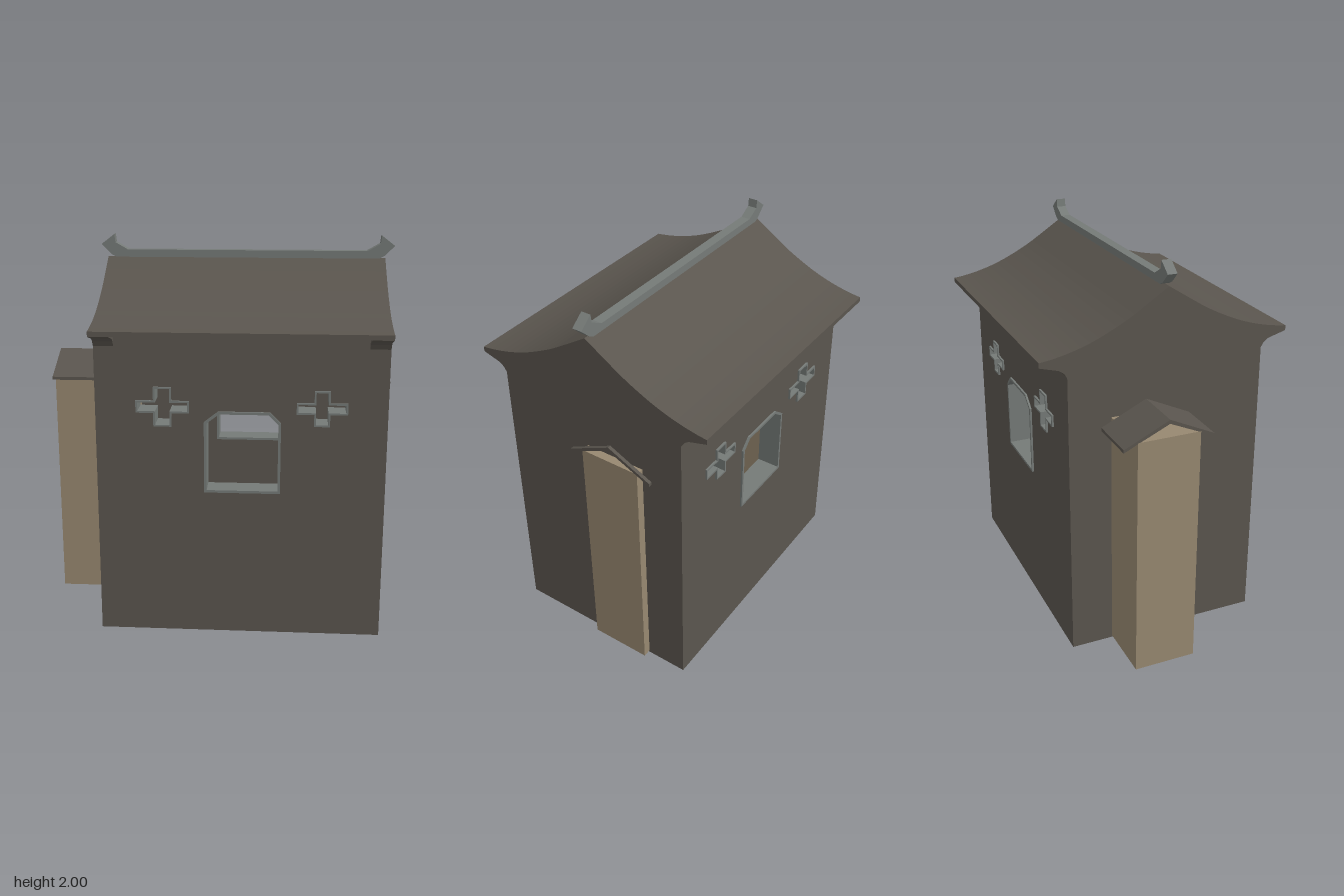
import * as THREE from 'three';

const mat = (name, color) => {
  const m = new THREE.MeshStandardMaterial({ color });
  m.name = name;
  return m;
};

export function createModel() {
  const house = new THREE.Group();
  house.name = 'house';
  const stone = mat('dark stone', 0x5a554e);
  const tan = mat('tan plaster', 0x978870);
  const trim = mat('grey trim', 0x757a77);

  const add = (name, geometry, material) => {
    const mesh = new THREE.Mesh(geometry, material);
    mesh.name = name;
    house.add(mesh);
    return mesh;
  };
  const points = (list) => list.map(([x, y]) => new THREE.Vector2(x, y));
  const extrude = (shape, depth) =>
    new THREE.ExtrudeGeometry(shape, { depth, bevelEnabled: false, curveSegments: 10 });
  // Extrude a gable section (z, y) along x from x0 to x1
  const alongX = (shape, x0, x1) => extrude(shape, x1 - x0).rotateY(Math.PI / 2).translate(x0, 0, 0);
  // Mirror half a section, listed from the ridge outwards and back to the centre
  const mirrored = (half) =>
    new THREE.Shape(points([...half, ...half.filter((p) => p[0] > 0).reverse().map(([z, y]) => [-z, y])]));

  const x0 = -0.595, x1 = 0.845, wall = 0.1, halfDepth = 0.51;

  // Sweeping roof line from the ridge to the eave
  const curve = new THREE.SplineCurve(points([
    [0, 1.88], [0.1, 1.815], [0.2, 1.752], [0.3, 1.7], [0.4, 1.657], [0.5, 1.626], [0.585, 1.608], [0.645, 1.6],
  ]));
  const roofLine = curve.getPoints(16).map((p) => [p.x, p.y]);

  // End walls with curved corbels under the eaves
  const gable = mirrored([
    ...roofLine, [0.645, 1.575], [0.6, 1.562], [0.55, 1.548], [0.525, 1.53], [halfDepth, 1.505], [halfDepth, 0],
  ]);
  add('rightEndWall', alongX(gable, x0, x0 + wall), stone);
  add('leftEndWall', alongX(gable, x1 - wall, x1), stone);

  // Roof slab between the end walls
  const slab = mirrored([...roofLine, [0.645, 1.575], [0.42, 1.575], [0.2, 1.68]]
    .concat([[0, 1.81]]));
  add('roof', alongX(slab, x0 + wall, x1 - wall), stone);

  // Outlines of the openings, shrunk by an inset
  const windowOutline = (i) => points([
    [-0.055 + i, 0.765 + i], [0.325 - i, 0.765 + i], [0.325 - i, 1.13 - i * 0.4],
    [0.27 - i * 0.4, 1.185 - i], [0.015 + i * 0.4, 1.185 - i], [-0.055 + i, 1.13 - i * 0.4],
  ]);
  const crossOutline = (cx, cy, w, h, armX, armY) => (i) => {
    const X = w / 2 - i, Y = h / 2 - i, a = armX / 2 - i, b = armY / 2 - i;
    return points([
      [-X, -b], [-a, -b], [-a, -Y], [a, -Y], [a, -b], [X, -b],
      [X, b], [a, b], [a, Y], [-a, Y], [-a, b], [-X, b],
    ].map(([x, y]) => [cx + x, cy + y]));
  };
  const openings = {
    windowFrame: windowOutline,
    rightCrossFrame: crossOutline(-0.26, 1.205, 0.265, 0.2, 0.09, 0.062),
    leftCrossFrame: crossOutline(0.525, 1.207, 0.25, 0.18, 0.078, 0.058),
  };

  // Front and back walls, pierced, each with raised frames
  for (const [side, z] of [['front', halfDepth - wall], ['back', -halfDepth]]) {
    const shape = new THREE.Shape(points([
      [x0 + wall, 0], [x1 - wall, 0], [x1 - wall, 1.575], [x0 + wall, 1.575],
    ]));
    for (const outline of Object.values(openings)) shape.holes.push(new THREE.Path(outline(0)));
    add(side + 'Wall', extrude(shape, wall).translate(0, 0, z), stone);
    for (const [name, outline] of Object.entries(openings)) {
      const frame = new THREE.Shape(outline(0));
      frame.holes.push(new THREE.Path(outline(name === 'windowFrame' ? 0.013 : 0.009)));
      add(side + '_' + name, extrude(frame, wall + 0.02).translate(0, 0, z - 0.01), trim);
    }
  }

  // Side bays with little gabled roofs
  const bayZ = -0.132;
  const bayRoof = mirrored([[0, 1.357], [0.23, 1.248], [0.23, 1.232], [0.16, 1.265], [0, 1.337]]);
  const bays = [['right', -0.9, -0.48, -0.9, -0.64], ['left', 0.76, 0.888, 0.872, 0.89]];
  for (const [side, a, b, r0, r1] of bays) {
    const box = new THREE.BoxGeometry(b - a, 1.26, 0.32);
    add(side + 'Bay', box.translate((a + b) / 2, 0.64, bayZ), tan);
    add(side + 'BayRoof', alongX(bayRoof, r0, r1).translate(0, 0, bayZ), stone);
  }

  // Ridge beam with upturned ends
  const mid = 0.132;
  const end = [[0.68, 1.88], [0.705, 1.893], [0.758, 1.945], [0.69, 1.997], [0.685, 1.955], [0.62, 1.918]];
  const ridge = new THREE.Shape(points([
    ...end.map(([x, y]) => [mid + x, y]),
    ...end.slice().reverse().map(([x, y]) => [mid - x, y]),
  ]));
  add('ridgeBeam', extrude(ridge, 0.05).translate(0, 0, -0.025), trim);

  return house;
}
